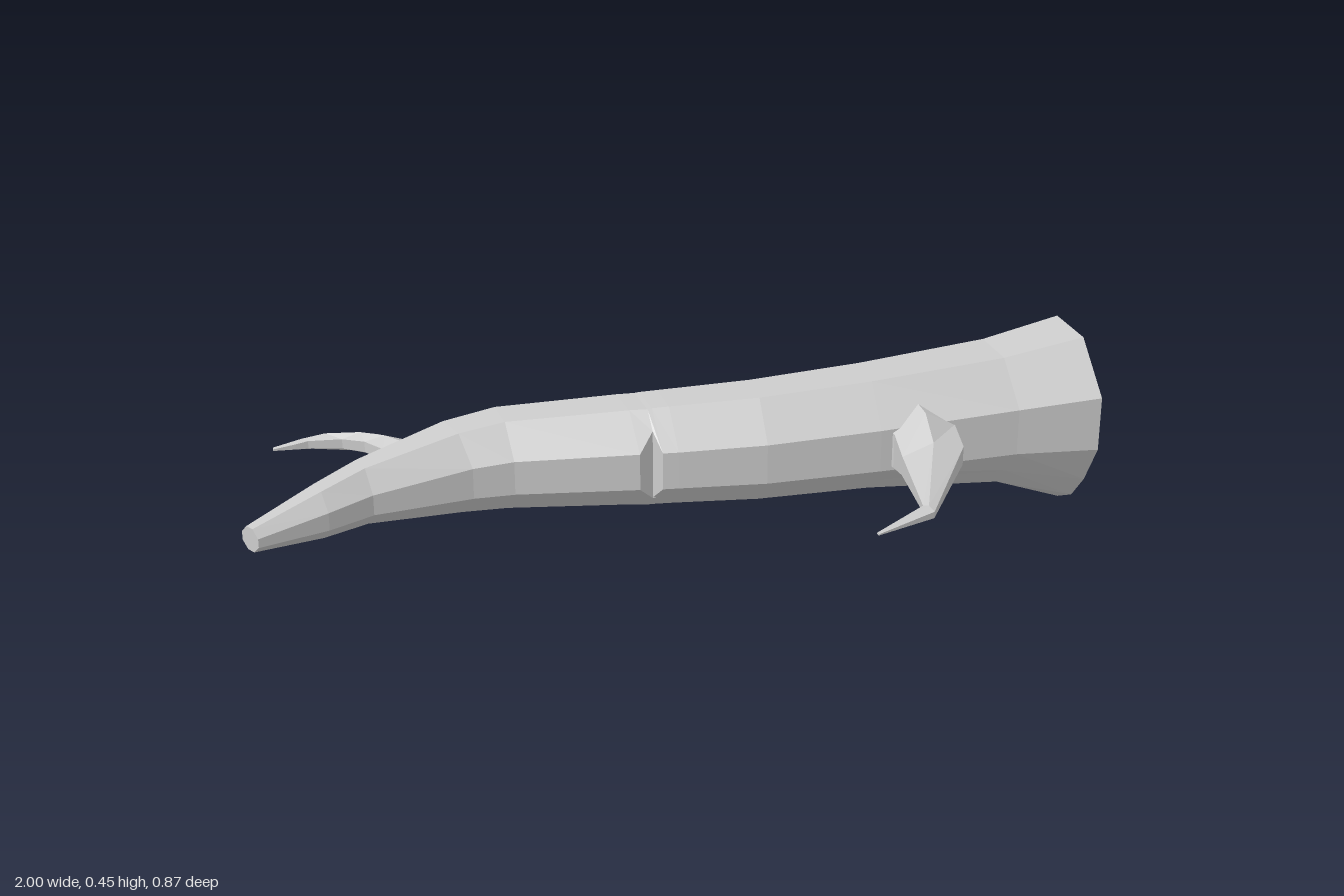
import * as THREE from 'three';

const C = 0.281; // height of the centre line

// One cross-section: profile of [t, y], t = -1 at the left end, 1 at the right end
const ring = (left, right, profile) => profile.map(([t, y]) => {
  const k = (t + 1) / 2;
  return [left[0] + (right[0] - left[0]) * k, y, left[1] + (right[1] - left[1]) * k];
});

// Skin over cross-sections, with both ends capped
function loft(rings) {
  const n = rings[0].length, index = [], last = (rings.length - 1) * n;
  for (let i = 0; i < rings.length - 1; i++) {
    for (let j = 0; j < n; j++) {
      const a = i * n + j, b = i * n + (j + 1) % n;
      index.push(a, a + n, b, b, a + n, b + n);
    }
  }
  for (let j = 1; j < n - 1; j++) {
    index.push(0, j, j + 1, last, last + j + 1, last + j);
  }
  const geo = new THREE.BufferGeometry();
  geo.setAttribute('position', new THREE.Float32BufferAttribute(rings.flat(2), 3));
  geo.setIndex(index);
  const flat = geo.toNonIndexed();
  flat.computeVertexNormals();
  return flat;
}

// Octagonal trunk section; keel deepens the underside towards the cut end
function trunkRing(left, right, top, keel = 0, notch = false) {
  const h = Math.hypot(right[0] - left[0], right[1] - left[1]) / 2;
  const s = 0.38 * h, q = 0.38;
  const low = (plain, deep) => C - h * (plain + (deep - plain) * keel);
  const profile = [
    [q, top], [-q, top], [-1, C + s], [-1, C - s],
    [-0.69, low(0.69, 0.97)], [-q, low(1, 1.36)], [0, low(1, 1.57)], [q, low(1, 1.36)],
    [0.69, low(0.69, 0.97)], [1, C - s], [1, C + s],
  ];
  if (notch) { // flat floor of the axe cut
    profile[8] = [0.67, C - 0.72 * h];
    profile[9] = [0.67, C - 0.7 * h];
    profile[10] = [0.67, C + 0.7 * h];
  }
  return ring(left, right, profile);
}

// Six-sided branch section with a ridge on top and below
const branchRing = ([left, right, v]) => ring(left, right, [
  [0, C + v], [-1, C + v / 2], [-1, C - v / 2], [0, C - v], [1, C - v / 2], [1, C + v / 2],
]);

export function createModel() {
  const group = new THREE.Group();
  const wood = new THREE.MeshStandardMaterial({ color: 0xcccccc, flatShading: true });
  wood.name = 'greyWood';
  const add = (name, geo) => {
    const mesh = new THREE.Mesh(geo, wood);
    mesh.name = name;
    group.add(mesh);
    return mesh;
  };

  // Trunk from the thin tip to the wide cut end, with a small notch in front
  add('trunk', loft([
    trunkRing([-1, -0.035], [-0.975, 0.015], 0.31),
    trunkRing([-0.83, -0.14], [-0.81, -0.03], 0.34),
    trunkRing([-0.72, -0.2], [-0.7, -0.072], 0.355),
    trunkRing([-0.51, -0.288], [-0.465, -0.096], 0.382),
    trunkRing([-0.37, -0.307], [-0.37, -0.09], 0.392),
    trunkRing([-0.095, -0.258], [-0.095, -0.022], 0.404),
    trunkRing([-0.055, -0.25], [-0.055, -0.01], 0.405, 0, true),
    trunkRing([-0.045, -0.249], [-0.045, -0.009], 0.406),
    trunkRing([0, -0.241], [-0.01, -0.001], 0.408),
    trunkRing([0.22, -0.215], [0.19, 0.04], 0.413),
    trunkRing([0.49, -0.206], [0.46, 0.066], 0.42),
    trunkRing([0.8, -0.215], [0.8, 0.085], 0.432, 0.45),
    trunkRing([1, -0.242], [1, 0.111], 0.458, 1),
  ]));

  // Front branch: flared root, then bent towards the tip
  add('frontBranch', loft([
    [[0.645, 0.0], [0.48, 0.0], 0.095],
    [[0.64, 0.075], [0.488, 0.075], 0.085],
    [[0.628, 0.15], [0.475, 0.15], 0.046],
    [[0.445, 0.39], [0.433, 0.355], 0.016],
    [[0.295, 0.432], [0.293, 0.424], 0.003],
  ].map(branchRing)));

  // Back branch: a hooked twig
  add('backBranch', loft([
    [[-0.62, -0.2], [-0.5, -0.2], 0.038],
    [[-0.62, -0.305], [-0.53, -0.293], 0.03],
    [[-0.65, -0.36], [-0.56, -0.34], 0.027],
    [[-0.695, -0.393], [-0.61, -0.39], 0.024],
    [[-0.77, -0.415], [-0.685, -0.43], 0.019],
    [[-0.8, -0.414], [-0.765, -0.437], 0.013],
    [[-0.852, -0.415], [-0.85, -0.425], 0.004],
  ].map(branchRing)));

  // Small knot on the back near the tip
  const knot = add('knot', new THREE.TorusGeometry(0.034, 0.005, 4, 8));
  knot.scale.set(1, 0.55, 0.8);
  knot.position.set(-0.79, 0.281, -0.163);
  knot.rotation.y = Math.atan2(-0.51, -0.86);

  return group;
}
